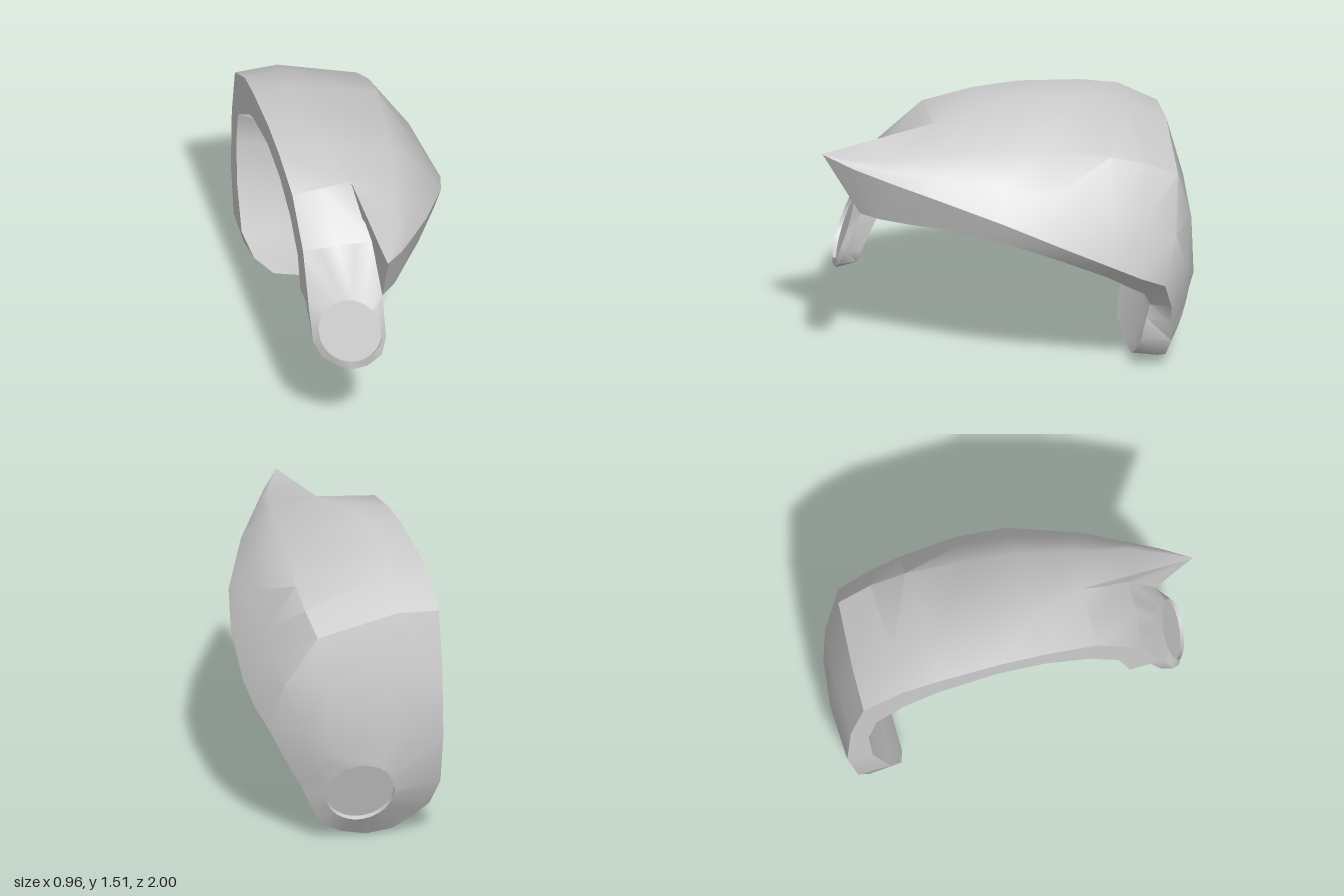
import * as THREE from 'three';
import { toCreasedNormals } from 'three/addons/utils/BufferGeometryUtils.js';

// Skin closed cross-sections (listed front to back), optionally leaving out cells and capping ends
function loft(rings, { skip = () => false, capFront = false, capBack = false } = {}) {
  const pos = [];
  const tri = (a, b, c) => pos.push(...a, ...b, ...c);
  const n = rings[0].length;
  for (let i = 0; i < rings.length - 1; i++) {
    const [p, q] = [rings[i], rings[i + 1]];
    for (let j = 0; j < n; j++) {
      if (skip(i, j)) continue;
      const k = (j + 1) % n;
      tri(p[j], p[k], q[j]);
      tri(p[k], q[k], q[j]);
    }
  }
  const cap = (ring, flip) => {
    const mid = [0, 1, 2].map(a => ring.reduce((s, p) => s + p[a], 0) / n);
    ring.forEach((p, j) => {
      const q = ring[(j + 1) % n];
      flip ? tri(mid, q, p) : tri(mid, p, q);
    });
  };
  if (capFront) cap(rings[0], true);
  if (capBack) cap(rings[rings.length - 1], false);
  return pos;
}

// Border of the outer columns 0..n of a run of sections, from the top one down
function border(rows, n) {
  const inner = rows.slice(1, -1);
  return [
    ...rows[0].slice(0, n + 1),
    ...inner.map(r => r[n]),
    ...rows[rows.length - 1].slice(0, n + 1).reverse(),
    ...inner.map(r => r[0]).reverse(),
  ];
}

// Surface patch inside a border with a sunken round socket
function socket(edge, radius, [cx, cy, cz], [nx, ny, nz], depth) {
  const outer = edge.flatMap((p, i) => {
    const q = edge[(i + 1) % edge.length];
    return [p, p.map((v, a) => (v + q[a]) / 2)];
  });
  const rim = outer.map(([x, y]) => {
    const t = Math.atan2(y - cy, x - cx);
    const [dx, dy] = [radius * Math.cos(t), radius * Math.sin(t)];
    return [cx + dx, cy + dy, cz - (nx * dx + ny * dy) / nz];
  });
  const floor = rim.map(([x, y, z]) => [x - nx * depth, y - ny * depth, z - nz * depth]);
  return loft([outer, rim, floor], { capBack: true });
}

export function createModel() {
  // Each section: open edge, crown, ridge, side, outer rim, inner rim, inner side, inner open edge
  const front = [[-0.48, 1.43, 0.38], [-0.16, 1.46, 0.38], [0.08, 1.39, 0.4], [0.17, 1.31, 0.44],
    [0.23, 1.22, 0.48], [0.2, 1.01, 0.41], [-0.14, 1.22, 0.34], [-0.48, 1.25, 0.34]];
  const crease = [[-0.48, 1.29, -0.9], [-0.25, 1.3, -0.9], [0.18, 1.19, -0.87], [0.35, 0.92, -0.825],
    [0.42, 0.65, -0.75], [0.26, 0.53, -0.67], [0.13, 1.0, -0.77], [-0.48, 1.06, -0.83]];

  const dome = [
    front,
    [[-0.48, 1.48, 0.1], [-0.25, 1.51, 0.08], [0.13, 1.415, 0.1], [0.285, 1.27, 0.1],
      [0.4, 1.1, 0.11], [0.36, 0.97, 0.1], [0.06, 1.28, 0.1], [-0.48, 1.34, 0.1]],
    [[-0.48, 1.49, -0.15], [-0.3, 1.515, -0.15], [0.16, 1.4, -0.15], [0.335, 1.2, -0.15],
      [0.46, 0.98, -0.15], [0.395, 0.87, -0.15], [0.1, 1.28, -0.15], [-0.48, 1.36, -0.17]],
    [[-0.48, 1.46, -0.48], [-0.28, 1.48, -0.47], [0.2, 1.34, -0.5], [0.37, 1.1, -0.49],
      [0.48, 0.82, -0.46], [0.37, 0.71, -0.45], [0.12, 1.21, -0.47], [-0.48, 1.29, -0.5]],
    [[-0.48, 1.42, -0.68], [-0.25, 1.43, -0.68], [0.2, 1.28, -0.69], [0.37, 1.02, -0.66],
      [0.46, 0.73, -0.61], [0.32, 0.62, -0.56], [0.13, 1.12, -0.63], [-0.48, 1.2, -0.68]],
    crease,
  ];

  // Back plate running down into a rounded flap
  const plate = [
    crease,
    [[-0.48, 0.98, -0.97], [-0.2, 0.98, -0.98], [0.15, 0.9, -0.95], [0.28, 0.69, -0.895],
      [0.34, 0.48, -0.8], [0.18, 0.42, -0.72], [0.18, 0.73, -0.79], [-0.48, 0.85, -0.87]],
    [[-0.48, 0.6, -0.99], [-0.2, 0.6, -1.0], [0.11, 0.55, -0.97], [0.2, 0.44, -0.905],
      [0.26, 0.33, -0.82], [0.175, 0.34, -0.7], [0.15, 0.43, -0.745], [-0.48, 0.57, -0.85]],
    [[-0.48, 0.32, -0.93], [-0.2, 0.32, -0.96], [0.05, 0.3, -0.94], [0.14, 0.25, -0.9],
      [0.2, 0.2, -0.83], [0.18, 0.22, -0.67], [0.05, 0.28, -0.71], [-0.48, 0.33, -0.75]],
    [[-0.44, 0.17, -0.86], [-0.2, 0.14, -0.88], [0.0, 0.13, -0.88], [0.08, 0.11, -0.85],
      [0.14, 0.09, -0.81], [0.12, 0.12, -0.65], [0.0, 0.14, -0.67], [-0.43, 0.2, -0.68]],
    [[-0.36, 0.09, -0.82], [-0.25, 0.02, -0.8], [-0.11, 0, -0.79], [-0.04, 0.015, -0.79],
      [0.03, 0.03, -0.79], [0.03, 0.06, -0.65], [-0.11, 0.04, -0.65], [-0.33, 0.1, -0.65]],
  ];

  // Pointed front corner overhanging the strap
  const point = [
    [[-0.11, 1.37, 1], [-0.109, 1.37, 1], [-0.108, 1.37, 1], [-0.106, 1.368, 1],
      [-0.09, 1.0, 0.8], [-0.08, 0.965, 0.57]],
    [[-0.12, 1.385, 0.89], [-0.04, 1.355, 0.86], [-0.015, 1.34, 0.86], [0, 1.32, 0.86],
      [0.0, 1.0, 0.71], [-0.06, 1.04, 0.54]],
    [[-0.135, 1.415, 0.69], [0.03, 1.36, 0.69], [0.075, 1.32, 0.69], [0.11, 1.27, 0.68],
      [0.09, 1.0, 0.57], [-0.08, 1.13, 0.48]],
    front.slice(1, 7),
  ];

  // Strap from its rounded tip up to the dome
  const strap = [
    [[-0.35, 0.635, 0.88], [-0.28, 0.62, 0.91], [-0.2, 0.63, 0.91], [-0.21, 0.64, 0.82], [-0.35, 0.645, 0.81]],
    [[-0.43, 0.68, 0.84], [-0.28, 0.66, 0.915], [-0.12, 0.69, 0.91], [-0.13, 0.69, 0.81], [-0.42, 0.69, 0.78]],
    [[-0.47, 0.76, 0.8], [-0.28, 0.78, 0.88], [-0.09, 0.78, 0.88], [-0.1, 0.77, 0.79], [-0.46, 0.77, 0.74]],
    [[-0.48, 0.95, 0.745], [-0.29, 0.97, 0.815], [-0.09, 0.97, 0.81], [-0.09, 0.96, 0.71], [-0.48, 0.95, 0.67]],
    [[-0.48, 0.98, 0.735], [-0.29, 1.0, 0.805], [-0.09, 1.0, 0.8], [-0.09, 0.96, 0.57], [-0.48, 0.93, 0.56]],
    [[-0.48, 1.23, 0.62], [-0.3, 1.26, 0.65], [-0.11, 1.25, 0.645], [-0.11, 1.1, 0.49], [-0.48, 1.12, 0.5]],
    [front[0], [-0.32, 1.445, 0.38], front[1], front[6], front[7]],
  ];

  const parts = {
    dome: loft(dome),
    backPlate: loft(plate, { skip: (i, j) => i >= 2 && j < 4, capBack: true }),
    flapSocket: socket(border(plate.slice(2), 4), 0.18, [-0.04, 0.3, -0.925], [0.15, -0.3, -0.94], 0.03),
    frontPoint: loft(point, { capFront: true }),
    frontStrap: loft(strap, { skip: (i, j) => i < 5 && j < 2, capFront: true }),
    strapSocket: socket(border(strap.slice(0, 6).reverse(), 2).reverse(), 0.166,
      [-0.28, 0.83, 0.85], [-0.2, 0.33, 0.94], 0.02),
  };

  // Normals are worked out across all parts together so that the joins stay smooth
  const whole = new THREE.BufferGeometry();
  whole.setAttribute('position', new THREE.Float32BufferAttribute(Object.values(parts).flat(), 3));
  const normals = toCreasedNormals(whole, 0.65).attributes.normal.array;

  const material = new THREE.MeshStandardMaterial({ color: 0xcccccc, side: THREE.DoubleSide });
  const group = new THREE.Group();
  group.name = 'shoulderGuard';
  let start = 0;
  for (const [name, pos] of Object.entries(parts)) {
    const geo = new THREE.BufferGeometry();
    geo.setAttribute('position', new THREE.Float32BufferAttribute(pos, 3));
    geo.setAttribute('normal', new THREE.Float32BufferAttribute(normals.slice(start, start + pos.length), 3));
    start += pos.length;
    const mesh = new THREE.Mesh(geo, material);
    mesh.name = name;
    group.add(mesh);
  }
  return group;
}
